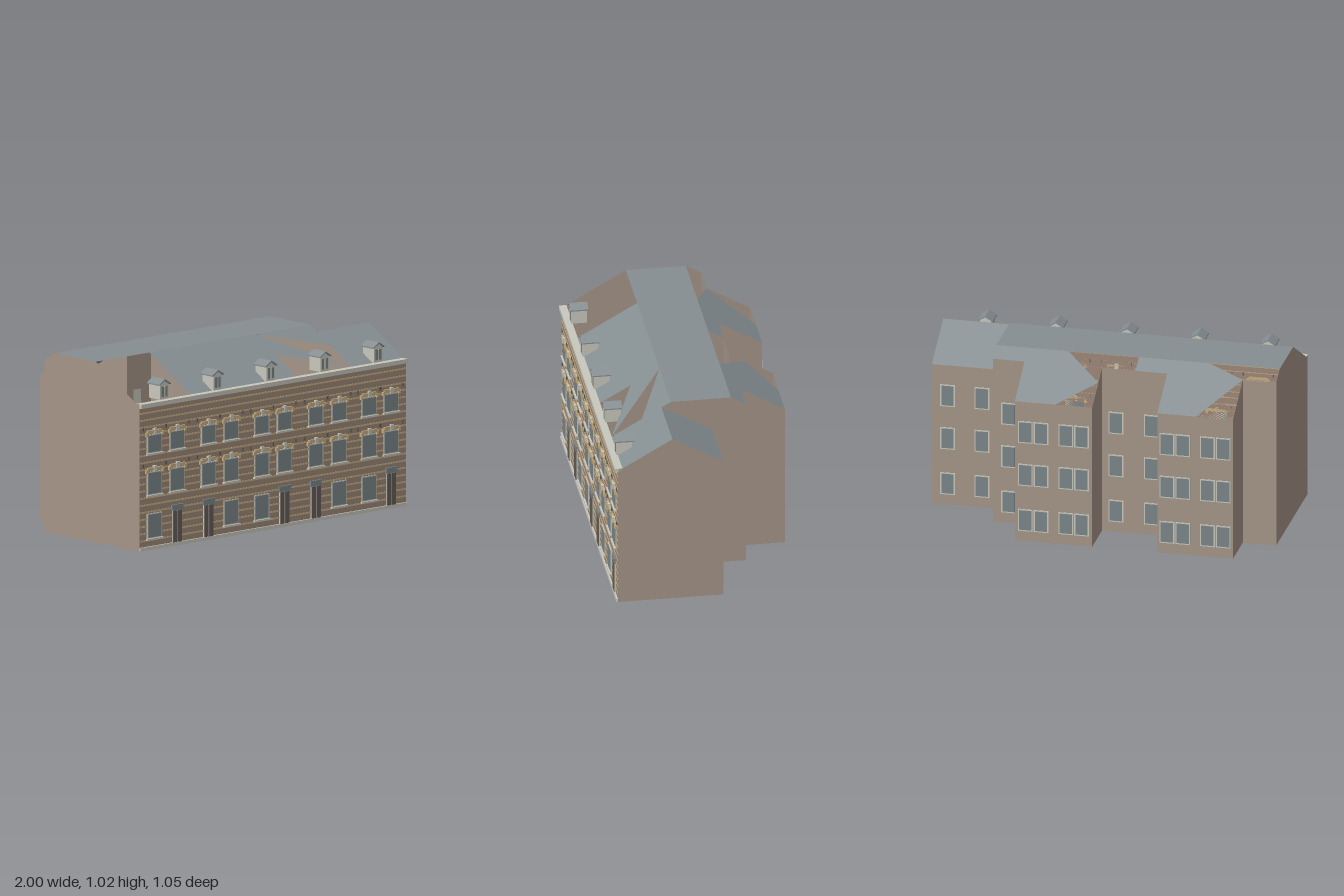
import * as THREE from 'three';

const material = (name, color) => {
  const m = new THREE.MeshStandardMaterial({ color, side: THREE.DoubleSide });
  m.name = name;
  return m;
};

export function createModel() {
  const root = new THREE.Group();
  root.name = 'terracedBuilding';
  const plaster = material('brownPlaster', 0xa59588);
  const brick = material('frontBrick', 0x9d8879);
  const stripe = material('sandStripe', 0xc9b083);
  const slate = material('slate', 0x858e92);
  const trim = material('paleTrim', 0xc8c8bd);
  const glass = material('greyGlass', 0x7b868a);
  const wood = material('darkWood', 0x655d58);

  const EAVE = 0.83, TOP = 1.02, FRONT = 0.505, LOW = 0.48;
  const RIDGE_F = 0.147, RIDGE_B = -0.19, BACK = -0.275, WING = -0.52;
  const SIDE_X = 0.61, SIDE_BACK = -0.085, SIDE_RIDGE = 0.2, SIDE_TOP = 0.99;

  const group = (name, parent = root) => {
    const g = new THREE.Group();
    g.name = name;
    parent.add(g);
    return g;
  };
  // Flat convex face from its corners
  const sheet = (name, pts, mat, parent) => {
    const pos = [];
    for (let i = 1; i < pts.length - 1; i++) pos.push(...pts[0], ...pts[i], ...pts[i + 1]);
    const geo = new THREE.BufferGeometry();
    geo.setAttribute('position', new THREE.Float32BufferAttribute(pos, 3));
    geo.computeVertexNormals();
    const mesh = new THREE.Mesh(geo, mat);
    mesh.name = name;
    parent.add(mesh);
  };
  // Box given by its extents
  const box = (name, x0, x1, y0, y1, z0, z1, mat, parent) => {
    const mesh = new THREE.Mesh(new THREE.BoxGeometry(x1 - x0, y1 - y0, z1 - z0), mat);
    mesh.position.set((x0 + x1) / 2, (y0 + y1) / 2, (z0 + z1) / 2);
    mesh.name = name;
    parent.add(mesh);
  };

  // Roof heights by depth
  const frontY = z => EAVE + (LOW - z) * (TOP - EAVE) / (LOW - RIDGE_F);
  const backY = z => TOP - (RIDGE_B - z) * (TOP - EAVE) / (RIDGE_B - WING);
  const flatY = () => TOP;
  const sideY = z => z > SIDE_RIDGE
    ? EAVE + (LOW - z) * (SIDE_TOP - EAVE) / (LOW - SIDE_RIDGE)
    : EAVE + (z - SIDE_BACK) * (SIDE_TOP - EAVE) / (SIDE_RIDGE - SIDE_BACK);

  // Outer walls, party walls and floor
  const walls = group('walls');
  const mainProfile = [[FRONT, 0], [FRONT, EAVE], [LOW, EAVE], [RIDGE_F, TOP], [RIDGE_B, TOP],
    [BACK, backY(BACK)], [BACK, 0]];
  const sideProfile = [[FRONT, 0], [FRONT, EAVE], [LOW, EAVE], [SIDE_RIDGE, SIDE_TOP],
    [SIDE_BACK, EAVE], [SIDE_BACK, 0]];
  const profileWall = (name, x, profile) => sheet(name, profile.map(([z, y]) => [x, y, z]), plaster, walls);
  profileWall('rightEndWall', -1, mainProfile);
  profileWall('partyWall', -0.2, mainProfile);
  profileWall('steppedPartyWall', SIDE_X, mainProfile);
  profileWall('leftEndWall', 1, sideProfile);
  sheet('frontWall', [[-1, 0, FRONT], [1, 0, FRONT], [1, EAVE, FRONT], [-1, EAVE, FRONT]], brick, walls);
  const backWall = (x0, x1, z, y) =>
    sheet('backWall', [[x1, 0, z], [x0, 0, z], [x0, y, z], [x1, y, z]], plaster, walls);
  for (const [x0, x1] of [[-1, -0.81], [-0.38, -0.01], [0.43, SIDE_X]]) backWall(x0, x1, BACK, backY(BACK));
  backWall(SIDE_X, 1, SIDE_BACK, EAVE);
  const floor = (x0, x1, z0, z1) =>
    sheet('floor', [[x0, 0, z0], [x1, 0, z0], [x1, 0, z1], [x0, 0, z1]], plaster, walls);
  floor(-1, SIDE_X, BACK, FRONT);
  floor(SIDE_X, 1, SIDE_BACK, FRONT);
  for (const [x0, x1] of [[-0.81, -0.38], [-0.01, 0.43]]) {
    backWall(x0, x1, WING, EAVE);
    floor(x0, x1, WING, BACK);
    for (const x of [x0, x1]) sheet('wingSideWall',
      [[x, 0, BACK], [x, backY(BACK), BACK], [x, EAVE, WING], [x, 0, WING]], plaster, walls);
  }

  // Roof planes, with their open gaps
  const roof = group('roof');
  const plane = (name, y, ...pts) => sheet(name, pts.map(([x, z]) => [x, y(z), z]), slate, roof);
  const strip = (name, y, x0, x1, z0, z1) => plane(name, y, [x0, z0], [x1, z0], [x1, z1], [x0, z1]);
  strip('flatRoof', flatY, -1, SIDE_X, RIDGE_F, RIDGE_B);
  strip('frontSlope', frontY, -0.6, 0.2, LOW, RIDGE_F);
  plane('frontSlopeUpper', frontY, [0.2, RIDGE_F], [SIDE_X, 0.31], [SIDE_X, RIDGE_F]);
  plane('frontSlopeSliver', frontY, [0.2, RIDGE_F], [0.2, 0.31], [SIDE_X, LOW]);
  plane('wingSlopeCorner', backY, [-0.81, BACK], [-0.6, RIDGE_B], [-0.6, WING]);
  strip('wingSlope', backY, -0.6, -0.38, RIDGE_B, WING);
  strip('backSlope', backY, -0.38, -0.2, RIDGE_B, BACK);
  plane('wingSlopeCorner', backY, [-0.01, -0.365], [0.2, RIDGE_B], [0.2, WING]);
  strip('wingSlope', backY, 0.2, 0.43, RIDGE_B, WING);
  strip('backSlope', backY, 0.43, SIDE_X, RIDGE_B, BACK);
  strip('sideFrontSlope', sideY, SIDE_X, 1, LOW, SIDE_RIDGE);
  strip('sideBackSlope', sideY, SIDE_X, 1, SIDE_RIDGE, SIDE_BACK);

  // Facade bands, plinth and gutter
  const facade = group('facade');
  for (let y = 0.05; y < 0.8; y += 0.04) box('brickStripe', -1, 1, y, y + 0.009, FRONT, FRONT + 0.002, stripe, facade);
  box('plinth', -1, 1, 0, 0.02, FRONT, 0.515, trim, facade);
  box('gutter', -1, 1, 0.806, EAVE, LOW, 0.522, trim, facade);

  // Window with a pale frame on the front
  const frontWindow = (x, y0, y1) => {
    const g = group('frontWindow', facade);
    box('frame', x - 0.055, x + 0.055, y0, y1, FRONT, 0.51, trim, g);
    box('pane', x - 0.049, x + 0.049, y0 + 0.005, y1 - 0.006, FRONT, 0.512, glass, g);
    box('sill', x - 0.062, x + 0.062, y0 - 0.01, y0, FRONT, 0.52, trim, g);
    return g;
  };
  const columns = [-0.89, -0.72, -0.485, -0.315, -0.085, 0.085, 0.32, 0.495, 0.72, 0.885];
  for (const [y0, y1] of [[0.31, 0.44], [0.545, 0.65]]) {
    for (const x of columns) {
      const g = frontWindow(x, y0, y1);
      box('lintel', x - 0.055, x + 0.055, y1 + 0.006, y1 + 0.024, FRONT, 0.516, stripe, g);
      box('keystone', x - 0.01, x + 0.01, y1, y1 + 0.034, FRONT, 0.52, trim, g);
      for (const s of [-1, 1]) {
        box('lintelEnd', x + s * 0.059 - 0.008, x + s * 0.059 + 0.008, y1 - 0.008, y1 + 0.014, FRONT, 0.518, stripe, g);
        box('wallAnchor', x + s * 0.085 - 0.004, x + s * 0.085 + 0.004, y1 + 0.026, y1 + 0.046, FRONT, 0.512, wood, g);
      }
    }
  }
  for (const i of [0, 3, 4, 7, 8]) frontWindow(columns[i], 0.065, 0.205);

  // Front doors with transom lights
  for (const i of [1, 2, 5, 6, 9]) {
    const x = columns[i], g = group('frontDoor', facade);
    box('doorFrame', x - 0.036, x + 0.036, 0, 0.2, FRONT, 0.511, trim, g);
    box('transom', x - 0.042, x + 0.042, 0.2, 0.232, FRONT, 0.515, glass, g);
    for (const s of [-1, 1]) {
      box('doorLeaf', x + s * 0.018 - 0.015, x + s * 0.018 + 0.015, 0.01, 0.198, FRONT, 0.514, wood, g);
    }
  }

  // Back windows on three storeys
  const rear = group('rearWindows');
  const rearColumns = [[0.91, SIDE_BACK], [0.715, SIDE_BACK], [0.52, BACK], [-0.09, BACK], [-0.29, BACK]];
  for (const c of [-0.595, 0.21]) for (const dx of [-0.16, -0.07, 0.07, 0.16]) rearColumns.push([c + dx, WING]);
  for (const [x, z] of rearColumns) {
    for (const y of [0.06, 0.33, 0.585]) {
      const g = group('rearWindow', rear);
      box('frame', x - 0.042, x + 0.042, y, y + 0.13, z - 0.003, z, trim, g);
      box('pane', x - 0.035, x + 0.035, y + 0.007, y + 0.123, z - 0.005, z, glass, g);
    }
  }

  // Gabled dormers along the eaves
  const dormers = group('dormers');
  for (const x of [-0.8, -0.4, 0, 0.405, 0.805]) {
    const g = group('dormer', dormers);
    const body = new THREE.Shape([[-0.032, 0.832], [0.032, 0.832], [0.032, 0.915], [0, 0.938], [-0.032, 0.915]]
      .map(p => new THREE.Vector2(...p)));
    const mesh = new THREE.Mesh(new THREE.ExtrudeGeometry(body, { depth: 0.09, bevelEnabled: false }), trim);
    mesh.position.set(x, 0, 0.4);
    mesh.name = 'dormerBody';
    g.add(mesh);
    box('dormerPane', x - 0.022, x + 0.022, 0.845, 0.905, 0.488, 0.492, glass, g);
    box('dormerMullion', x - 0.004, x + 0.004, 0.845, 0.905, 0.488, 0.494, trim, g);
    const cap = new THREE.Shape([[-0.043, 0.912], [0, 0.938], [0.043, 0.912], [0.043, 0.919], [0, 0.946], [-0.043, 0.919]]
      .map(p => new THREE.Vector2(...p)));
    const lid = new THREE.Mesh(new THREE.ExtrudeGeometry(cap, { depth: 0.102, bevelEnabled: false }), slate);
    lid.position.set(x, 0, 0.395);
    lid.name = 'dormerRoof';
    g.add(lid);
  }
  return root;
}
